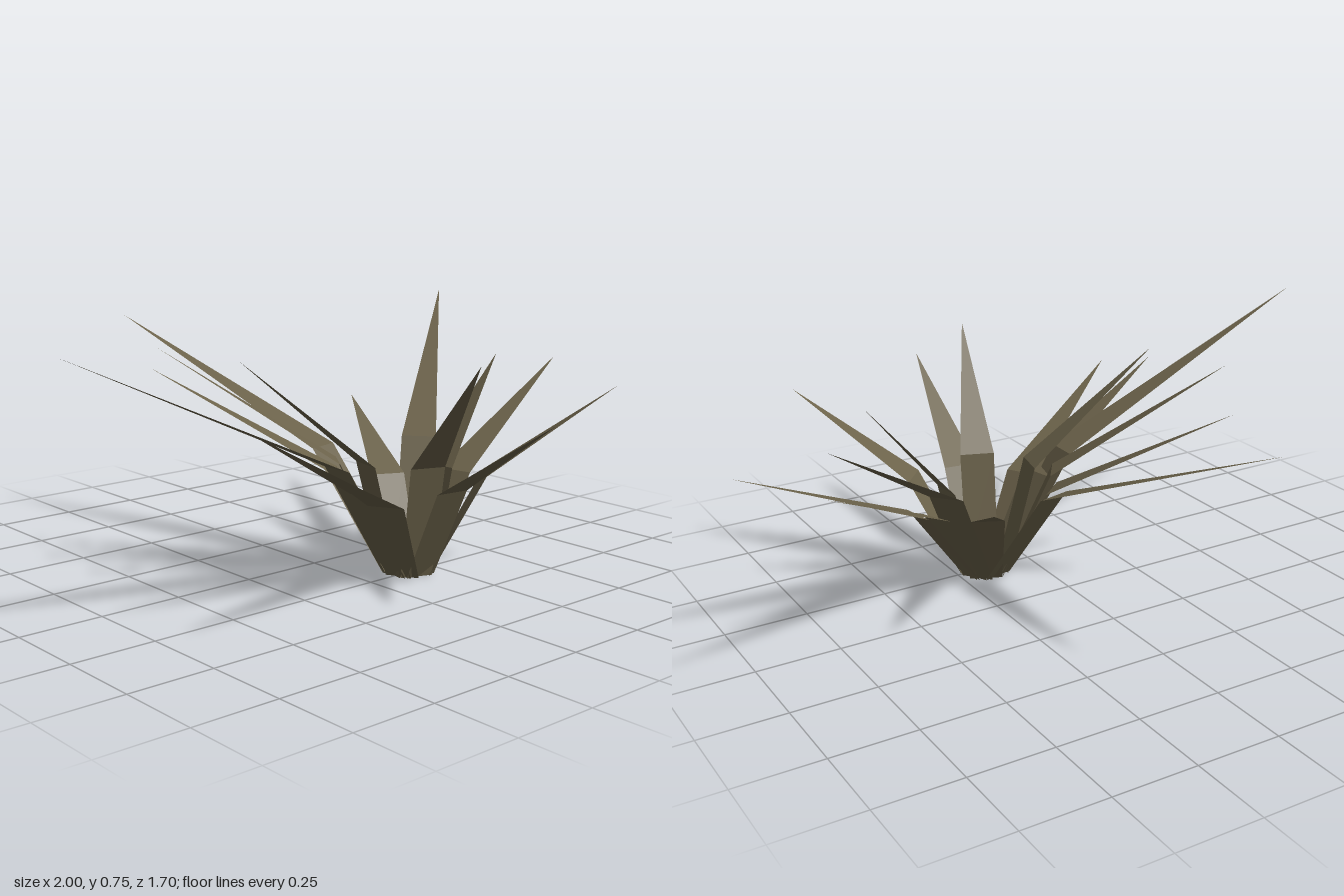
import * as THREE from 'three';

// Each blade: tip x, y, z, then the radius and height of its bend
const BLADES = [
  [-0.10, 0.68, -0.85, 0.31, 0.34],
  [0.90, 0.735, -0.375, 0.28, 0.35],
  [0.41, 0.43, -0.29, 0.20, 0.25],
  [0.79, 0.48, -0.06, 0.23, 0.26],
  [1.00, 0.54, 0.07, 0.25, 0.26],
  [0.55, 0.61, 0.215, 0.13, 0.30],
  [0.60, 0.56, 0.64, 0.22, 0.30],
  [0.08, 0.54, 0.845, 0.20, 0.28],
  [0.00, 0.68, 0.66, 0.13, 0.34],
  [-0.52, 0.48, 0.62, 0.23, 0.25],
  [-0.56, 0.54, 0.40, 0.22, 0.27],
  [-1.00, 0.755, 0.23, 0.28, 0.35],
  [-0.38, 0.67, 0.13, 0.15, 0.34],
  [-0.44, 0.68, -0.17, 0.21, 0.34],
  [-0.35, 0.59, -0.33, 0.22, 0.30],
];
const CENTRE = new THREE.Vector3(0.16, 0, 0.24);
const BASE_RADIUS = 0.06;

// A flat strip with a straight foot, one bend and a pointed tip
function bladeGeometry([x, y, z, bendRadius, bendHeight]) {
  const out = new THREE.Vector3(x, 0, z).sub(CENTRE).normalize();
  const side = new THREE.Vector3(out.z, 0, -out.x);
  const at = (radius, height, offset) => CENTRE.clone()
    .addScaledVector(out, radius).addScaledVector(side, offset).setY(height);
  const points = [
    at(BASE_RADIUS, 0, -0.05), at(BASE_RADIUS, 0, 0.05),
    at(bendRadius, bendHeight, -0.053), at(bendRadius, bendHeight, 0.053),
    new THREE.Vector3(x, y, z),
  ];
  // Faces turn their front to the sky
  const order = [0, 1, 2, 1, 3, 2, 2, 3, 4];
  const geometry = new THREE.BufferGeometry().setFromPoints(order.map((i) => points[i]));
  geometry.computeVertexNormals();
  return geometry;
}

export function createModel() {
  const model = new THREE.Group();
  model.name = 'spikyPlant';
  const dryLeaf = new THREE.MeshStandardMaterial({ color: 0x6b624a, side: THREE.DoubleSide });
  dryLeaf.name = 'dryLeaf';

  // Rosette of blades around an open middle
  BLADES.forEach((spec, i) => {
    const blade = new THREE.Mesh(bladeGeometry(spec), dryLeaf);
    blade.name = `blade${i + 1}`;
    model.add(blade);
  });
  return model;
}
